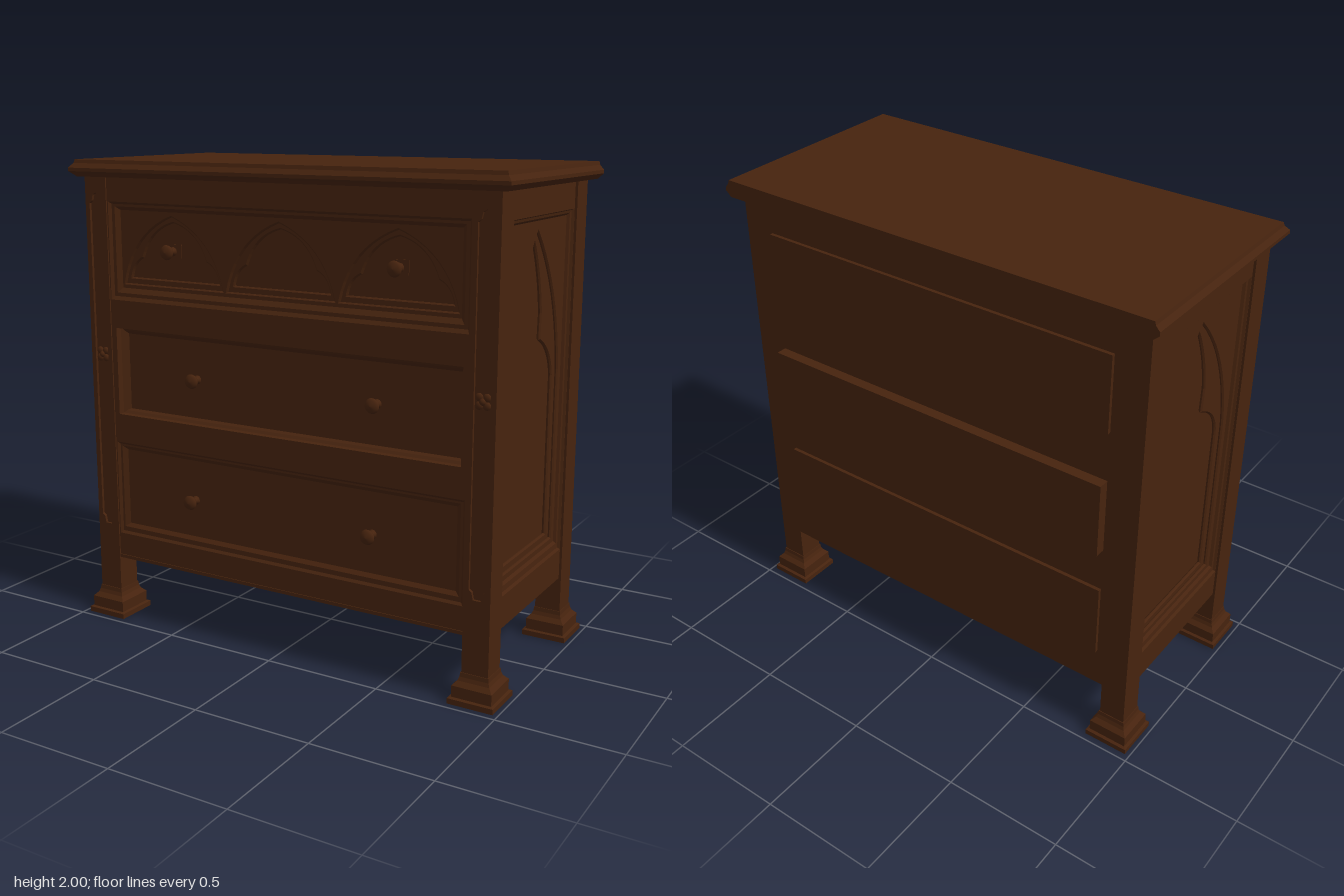
import * as THREE from 'three';

const wood = new THREE.MeshStandardMaterial({ color: 0x46230e });
wood.name = 'dark oak';

function add(parent, name, geometry, x = 0, y = 0, z = 0) {
  const mesh = new THREE.Mesh(geometry, wood);
  mesh.name = name;
  mesh.position.set(x, y, z);
  parent.add(mesh);
  return mesh;
}

// box given by its limits
function block(parent, name, x0, x1, y0, y1, z0, z1) {
  return add(parent, name, new THREE.BoxGeometry(x1 - x0, y1 - y0, z1 - z0),
    (x0 + x1) / 2, (y0 + y1) / 2, (z0 + z1) / 2);
}

// flat-faced skin through equal rings of points, closed at the last ring
function loft(rings) {
  const out = [];
  const tri = (...pts) => pts.forEach(p => out.push(...p));
  for (let r = 0; r + 1 < rings.length; r++) {
    const a = rings[r], b = rings[r + 1];
    a.forEach((p, i) => {
      const j = (i + 1) % a.length;
      tri(p, a[j], b[j]);
      tri(p, b[j], b[i]);
    });
  }
  const end = rings[rings.length - 1];
  for (let i = 1; i + 1 < end.length; i++) tri(end[0], end[i], end[i + 1]);
  const g = new THREE.BufferGeometry();
  g.setAttribute('position', new THREE.Float32BufferAttribute(out, 3));
  g.computeVertexNormals();
  return g;
}

// rings for recesses (facing +z) and for mouldings stacked upwards
const upright = ([w, y0, y1, z]) => [[-w, y0, z], [w, y0, z], [w, y1, z], [-w, y1, z]];
const level = ([y, w, front, back]) => [[-w, y, front], [w, y, front], [w, y, back], [-w, y, back]];

const rect = (w, y0, y1) => [[-w, y0], [w, y0], [w, y1], [-w, y1]].map(p => new THREE.Vector2(...p));

// closed outline mirrored from its right half, which ends on the centre line
function mirrored(path, cx = 0) {
  const right = path.getPoints(10);
  const left = right.slice(0, -1).reverse().map(p => new THREE.Vector2(-p.x, p.y));
  return [...right, ...left].map(p => new THREE.Vector2(p.x + cx, p.y));
}

// pierced board whose front face lies at z
function board(parent, name, outline, holes, z, depth, bevel = 0) {
  const shape = new THREE.Shape(outline);
  shape.holes = holes.map(h => new THREE.Path(h));
  const g = new THREE.ExtrudeGeometry(shape, {
    depth: depth - 2 * bevel, bevelEnabled: bevel > 0, bevelSize: bevel,
    bevelThickness: bevel, bevelOffset: -bevel, bevelSegments: 1,
  });
  return add(parent, name, g, 0, 0, z - depth + bevel);
}

const knobProfile = [[0.019, 0], [0.012, 0.012], [0.012, 0.026], [0.027, 0.034],
  [0.031, 0.043], [0.024, 0.056], [0, 0.06]].map(p => new THREE.Vector2(...p));

function addKnobs(parent, x, y, z) {
  for (const s of [-1, 1]) {
    add(parent, 'knob', new THREE.LatheGeometry(knobProfile, 20).rotateX(Math.PI / 2), s * x, y, z);
  }
}

// arched panel between the posts, built facing +z
function sidePanel() {
  const side = new THREE.Group();
  board(side, 'sideFrame', rect(0.325, 0.27, 1.93), [rect(0.318, 0.4, 1.82)], 0.93, 0.02);
  add(side, 'sideMoulding', loft([
    [0.318, 0.4, 1.82, 0.93], [0.312, 0.408, 1.815, 0.92], [0.3, 0.43, 1.805, 0.918],
    [0.293, 0.44, 1.795, 0.906], [0.293, 0.44, 1.795, 0.875],
  ].map(upright)));
  const pointed = new THREE.Path().moveTo(0.262, 0.465).lineTo(0.262, 1.18);
  pointed.quadraticCurveTo(0.235, 1.52, 0, 1.755);
  board(side, 'pointedArch', rect(0.3, 0.43, 1.805), [mirrored(pointed)], 0.907, 0.016, 0.006);
  const trefoil = new THREE.Path().moveTo(0.23, 0.49).lineTo(0.23, 1.16);
  trefoil.quadraticCurveTo(0.215, 1.27, 0.088, 1.325).lineTo(0.094, 1.43);
  trefoil.quadraticCurveTo(0.075, 1.58, 0, 1.715);
  board(side, 'trefoilArch', rect(0.3, 0.43, 1.805), [mirrored(trefoil)], 0.894, 0.016, 0.006);
  return side;
}

export function createModel() {
  const model = new THREE.Group();
  model.name = 'chestOfDrawers';

  // moulded top, plain along the back
  add(model, 'top', loft([
    [1.93, 0.01, 0.01, -0.01], [1.93, 0.965, 0.45, -0.478], [1.942, 0.978, 0.463, -0.478],
    [1.952, 0.989, 0.475, -0.478], [1.966, 0.989, 0.475, -0.478],
    [1.985, 0.972, 0.458, -0.478], [2.0, 0.968, 0.454, -0.478],
  ].map(level)));

  // corner posts with moulded feet; front ones carry a carved groove
  const groovePath = new THREE.Path().moveTo(0.016, 0.42).lineTo(0.022, 0.45).lineTo(0.034, 0.46);
  groovePath.lineTo(0.034, 1.82).lineTo(0.022, 1.83).lineTo(0.016, 1.855).lineTo(0, 1.865);
  for (const sx of [-1, 1]) for (const sz of [-1, 1]) {
    const post = new THREE.Group();
    post.name = sz > 0 ? 'frontPost' : 'backPost';
    post.position.set(sx * 0.885, 0, sz * 0.375);
    block(post, 'post', -0.055, 0.055, 0.1, 1.93, -0.055, sz > 0 ? 0.043 : 0.055);
    add(post, 'foot', loft([
      [0, 0.005], [0, 0.095], [0.022, 0.095], [0.026, 0.083], [0.072, 0.083],
      [0.09, 0.066], [0.105, 0.06], [0.122, 0.058], [0.122, 0.05],
    ].map(([y, w]) => level([y, w, w, -w]))));
    if (sz > 0) {
      board(post, 'groovedFace', rect(0.055, 0.1, 1.93), [mirrored(groovePath)], 0.055, 0.012);
      // rosette
      add(post, 'rosetteCentre', new THREE.SphereGeometry(0.014, 12, 8), 0, 1.18, 0.048);
      for (let i = 0; i < 4; i++) {
        const a = Math.PI / 4 + i * Math.PI / 2;
        add(post, 'rosettePetal', new THREE.SphereGeometry(0.016, 10, 6).scale(1, 1, 0.6),
          Math.cos(a) * 0.022, 1.18 + Math.sin(a) * 0.022, 0.046);
      }
    }
    model.add(post);
  }

  // side panels
  for (const s of [-1, 1]) {
    const side = sidePanel();
    side.name = s > 0 ? 'leftSide' : 'rightSide';
    side.rotation.y = s * Math.PI / 2;
    model.add(side);
  }

  // floor, back and the drawer boxes showing through it
  block(model, 'floor', -0.9, 0.9, 0.27, 0.29, -0.42, 0.41);
  block(model, 'back', -0.835, 0.835, 0.27, 1.93, -0.43, -0.41);
  for (const [y0, z] of [[0.44, -0.445], [0.95, -0.475], [1.48, -0.445]]) {
    block(model, 'drawerBack', -0.8, 0.8, y0, y0 + 0.32, z, -0.415);
  }

  // front frame with three drawer openings
  board(model, 'frontFrame', rect(0.832, 0.27, 1.93),
    [rect(0.825, 0.385, 0.8), rect(0.805, 0.925, 1.3), rect(0.825, 1.42, 1.83)], 0.424, 0.02);
  block(model, 'lowerBead', -0.83, 0.83, 0.272, 0.286, 0.415, 0.428);

  // drawer fronts
  add(model, 'bottomDrawer', loft([
    [0.825, 0.385, 0.8, 0.424], [0.815, 0.395, 0.79, 0.414], [0.805, 0.415, 0.782, 0.414],
    [0.785, 0.43, 0.765, 0.4],
  ].map(upright)));
  add(model, 'middleDrawer', loft([
    [0.805, 0.925, 1.3, 0.424], [0.805, 0.925, 1.3, 0.395], [0.795, 0.935, 1.285, 0.385],
    [0.782, 0.942, 1.27, 0.37],
  ].map(upright)));
  add(model, 'topDrawer', loft([
    [0.825, 0.42, 0.83, 0.424], [0.815, 0.435, 0.82, 0.412], [0.8, 0.45, 0.81, 0.412],
    [0.782, 0.47, 0.795, 0.396], [0.782, 0.47, 0.795, 0.362],
  ].map(([w, a, b, z]) => upright([w, 1 + a, 1 + b, z]))));

  // arcade on the top drawer
  const pointed = new THREE.Path().moveTo(0.248, 1.49);
  pointed.quadraticCurveTo(0.2, 1.7, 0, 1.775);
  const cusped = new THREE.Path().moveTo(0.222, 1.515);
  cusped.quadraticCurveTo(0.21, 1.58, 0.16, 1.6).quadraticCurveTo(0.12, 1.72, 0, 1.75);
  const centres = [-0.52, 0, 0.52];
  board(model, 'drawerArcade', rect(0.79, 1.46, 1.805),
    centres.map(x => mirrored(pointed, x)), 0.396, 0.016, 0.006);
  board(model, 'drawerTracery', rect(0.79, 1.46, 1.805),
    centres.map(x => mirrored(cusped, x)), 0.382, 0.016, 0.006);

  addKnobs(model, 0.425, 0.592, 0.4);
  addKnobs(model, 0.425, 1.107, 0.37);
  addKnobs(model, 0.522, 1.635, 0.385);
  block(model, 'knobBacking', -0.55, -0.494, 1.607, 1.663, 0.36, 0.366);
  block(model, 'knobBacking', 0.494, 0.55, 1.607, 1.663, 0.36, 0.366);
  return model;
}
